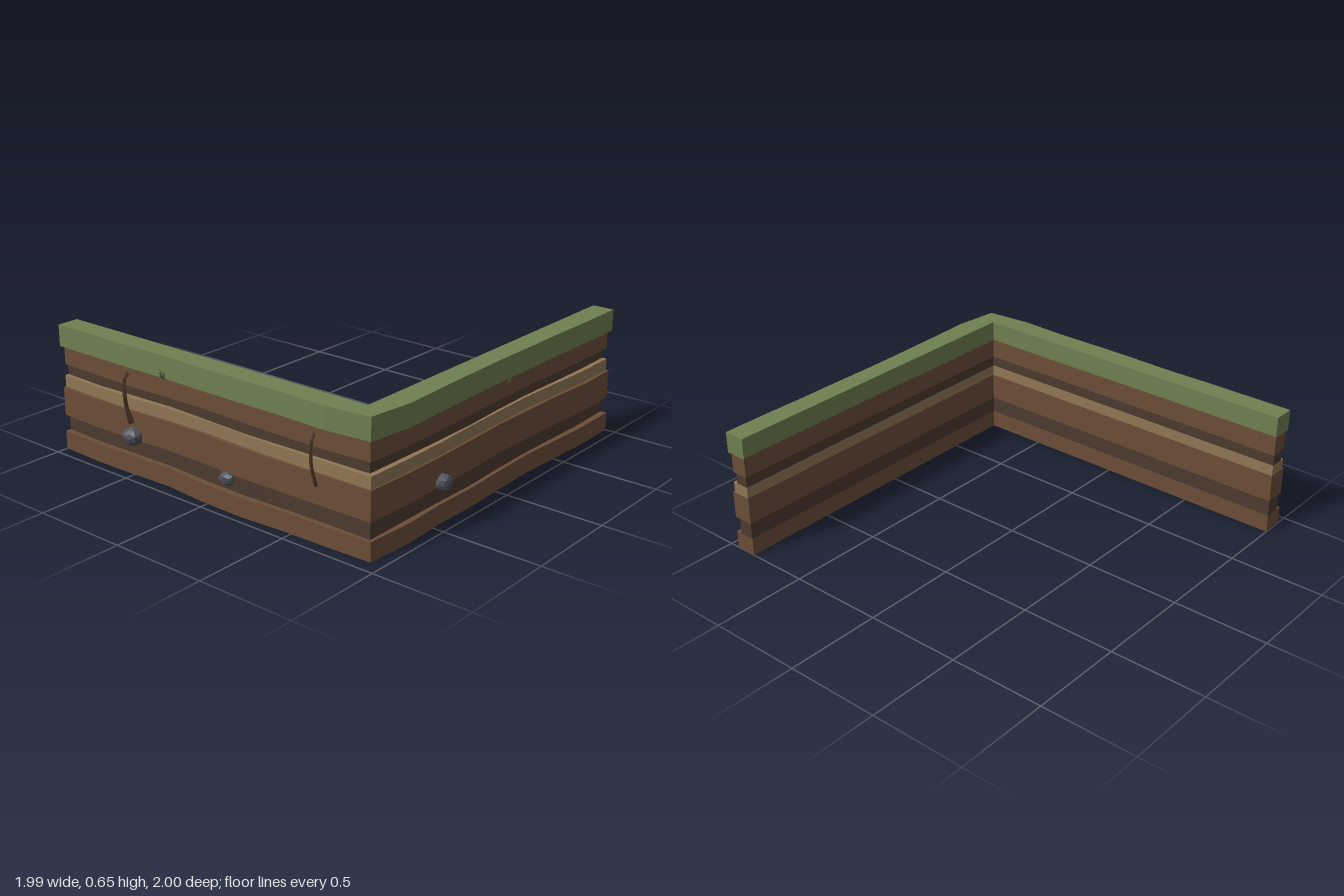
import * as THREE from 'three';

const GRASS = 0x6f8052, BROWN = 0x6b4d38, DARK = 0x4c3a2d, TAN = 0x8f7655;
const STONE = 0x4b4f58, ROOT = 0x4a3323, TUFT = 0x44552f;
const INNER = 0.83; // inner face of both arms

const material = (color) => new THREE.MeshStandardMaterial({ color, flatShading: true, side: THREE.DoubleSide });

function mesh(name, geometry, color) {
  const m = new THREE.Mesh(geometry, material(color));
  m.name = name;
  return m;
}

// One L-shaped band: front and side list the outer distance at even steps,
// from the free end of each arm up to (not including) the shared corner
function layer(name, y0, y1, color, corner, front, side) {
  const s = new THREE.Shape();
  const step = (list, i) => -1 + (i * 1.93) / list.length;
  s.moveTo(-1, INNER - 0.005);
  s.lineTo(INNER, INNER - 0.005);
  s.lineTo(INNER, -1);
  side.forEach((x, i) => s.lineTo(x, step(side, i)));
  s.lineTo(corner, corner - 0.005);
  for (let i = front.length - 1; i >= 0; i--) s.lineTo(step(front, i), front[i]);
  s.closePath();
  const g = new THREE.ExtrudeGeometry(s, { depth: y1 - y0, bevelEnabled: false });
  g.rotateX(Math.PI / 2).translate(0, y1, 0);
  return mesh(name, g, color);
}

// Faceted stone with slightly irregular corners
function stone(x, y, z, sx, sy, sz, turn) {
  const g = new THREE.IcosahedronGeometry(1, 1);
  const p = g.attributes.position;
  for (let i = 0; i < p.count; i++) {
    const v = new THREE.Vector3().fromBufferAttribute(p, i);
    v.multiplyScalar(0.94 + 0.07 * Math.sin(v.x * 5 + v.y * 7 + v.z * 3 + turn));
    p.setXYZ(i, v.x, v.y, v.z);
  }
  g.rotateY(turn).scale(sx, sy, sz).translate(x, y, z);
  g.computeVertexNormals();
  return mesh('stone', g, STONE);
}

function root(points, radius) {
  const curve = new THREE.CatmullRomCurve3(points.map((p) => new THREE.Vector3(...p)));
  return mesh('root', new THREE.TubeGeometry(curve, 6, radius, 5, false), ROOT);
}

// Small sprig of thin blades, spread along x and facing +z
function tuft() {
  const g = new THREE.Group();
  g.name = 'grassTuft';
  for (let i = 0; i < 5; i++) {
    const height = 0.045 + 0.012 * (i % 2);
    const blade = mesh('blade', new THREE.ConeGeometry(0.003, height, 3).translate(0, height / 2, 0), TUFT);
    blade.position.set((i - 2) * 0.005, -0.03, 0);
    blade.rotation.set(0.12, 0, (2 - i) * 0.12);
    g.add(blade);
  }
  return g;
}

export function createModel() {
  const model = new THREE.Group();

  // Soil strata from the ground up, topped by turf
  model.add(
    layer('baseSoil', 0, 0.095, BROWN, 0.935,
      [0.94, 0.95, 0.945, 0.935, 0.955, 0.96, 0.945, 0.94], [0.945, 0.95, 0.94, 0.93, 0.935, 0.945, 0.94, 0.95]),
    layer('lowerDarkBand', 0.095, 0.18, DARK, 0.92,
      [0.91, 0.92, 0.915, 0.91, 0.925, 0.93, 0.92, 0.915], [0.91, 0.92, 0.915, 0.91, 0.915, 0.925, 0.92, 0.92]),
    layer('middleSoil', 0.18, 0.325, BROWN, 0.93,
      [0.935, 0.945, 0.94, 0.925, 0.93, 0.94, 0.935, 0.93], [0.94, 0.95, 0.935, 0.93, 0.925, 0.935, 0.94, 0.94]),
    layer('sandBand', 0.325, 0.385, TAN, 0.925,
      [0.92, 0.93, 0.93, 0.915, 0.91, 0.92, 0.925, 0.92], [0.925, 0.93, 0.92, 0.91, 0.915, 0.92, 0.93, 0.93]),
    layer('upperDarkBand', 0.385, 0.44, DARK, 0.9,
      [0.9, 0.91, 0.9, 0.89, 0.9, 0.91, 0.905, 0.9], [0.9, 0.905, 0.9, 0.895, 0.9, 0.91, 0.91, 0.905]),
    layer('topSoil', 0.44, 0.545, BROWN, 0.91,
      [0.915, 0.92, 0.925, 0.915, 0.91, 0.92, 0.925, 0.92], [0.92, 0.925, 0.92, 0.91, 0.915, 0.92, 0.925, 0.925]),
    layer('turf', 0.54, 0.65, GRASS, 0.925,
      [0.94, 0.94, 0.94, 0.935, 0.94, 0.94, 0.937, 0.945], [0.945, 0.945, 0.94, 0.94, 0.937, 0.94, 0.945, 0.953]),
  );

  // Stones bedded in the outer faces
  model.add(
    stone(-0.495, 0.2, 0.945, 0.06, 0.05, 0.055, 0.4),
    stone(0.11, 0.15, 0.93, 0.048, 0.038, 0.036, 1.3),
    stone(0.95, 0.205, 0.44, 0.045, 0.043, 0.05, 2.2),
  );

  // Roots hanging out of the top soil
  model.add(
    root([[-0.535, 0.51, 0.915], [-0.53, 0.48, 0.95], [-0.515, 0.38, 0.965], [-0.51, 0.26, 0.945]], 0.009),
    root([[-0.522, 0.42, 0.958], [-0.51, 0.35, 0.96], [-0.49, 0.27, 0.945]], 0.007),
    root([[0.618, 0.5, 0.915], [0.627, 0.48, 0.945], [0.637, 0.38, 0.962], [0.645, 0.27, 0.94]], 0.008),
  );

  // Tufts on the turf faces
  const frontTuft = tuft();
  frontTuft.position.set(-0.275, 0.57, 0.942);
  const sideTuft = tuft();
  sideTuft.position.set(0.944, 0.555, -0.06);
  sideTuft.rotation.y = Math.PI / 2;
  model.add(frontTuft, sideTuft);

  return model;
}
